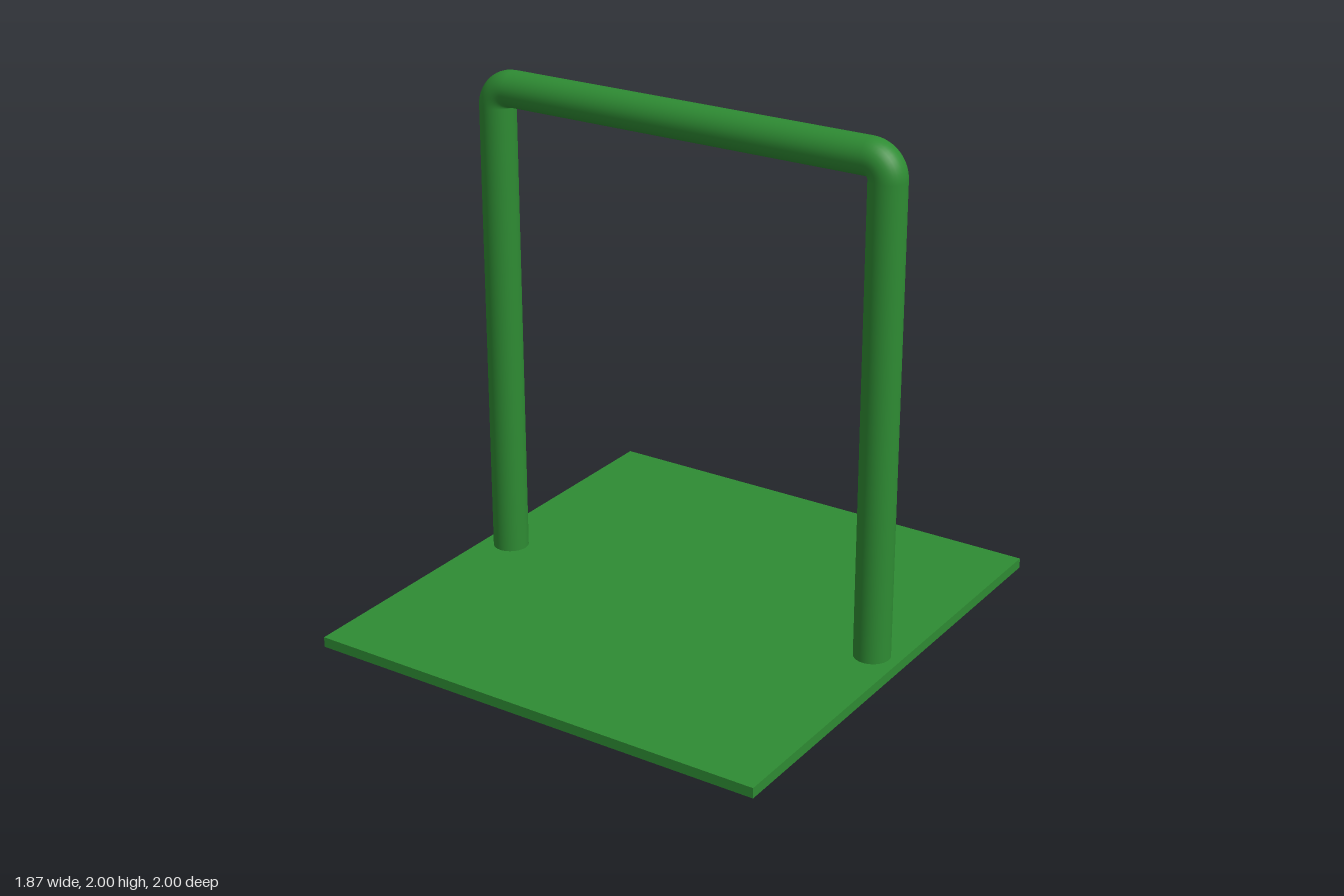
import * as THREE from 'three';

export function createModel() {
  const model = new THREE.Group();
  const green = new THREE.MeshStandardMaterial({ color: 0x2e8b33 });
  const add = (name, geometry, x, y, parent = model) => {
    const mesh = new THREE.Mesh(geometry, green);
    mesh.name = name;
    mesh.position.set(x, y, 0);
    parent.add(mesh);
    return mesh;
  };

  const r = 0.07;        // pipe radius
  const bend = 0.072;    // centreline radius of the corner bends
  const postX = 0.825;
  const barY = 1.93;
  const baseTop = 0.04;

  // Flat ground plate
  add('basePlate', new THREE.BoxGeometry(1.87, baseTop, 2), 0, baseTop / 2);

  // Bent pipe frame: two posts, two quarter bends, one top bar
  const frame = new THREE.Group();
  frame.name = 'pipeFrame';
  model.add(frame);

  const postHeight = barY - bend - baseTop;
  for (const side of [1, -1]) {
    const label = side > 0 ? 'left' : 'right';
    add(label + 'Post', new THREE.CylinderGeometry(r, r, postHeight, 32, 1, true),
      side * postX, baseTop + postHeight / 2, frame);
    const elbow = add(label + 'Bend', new THREE.TorusGeometry(bend, r, 32, 12, Math.PI / 2),
      side * (postX - bend), barY - bend, frame);
    if (side < 0) elbow.rotation.y = Math.PI;
  }

  const bar = add('topBar',
    new THREE.CylinderGeometry(r, r, 2 * (postX - bend), 32, 1, true), 0, barY, frame);
  bar.rotation.z = Math.PI / 2;

  return model;
}
